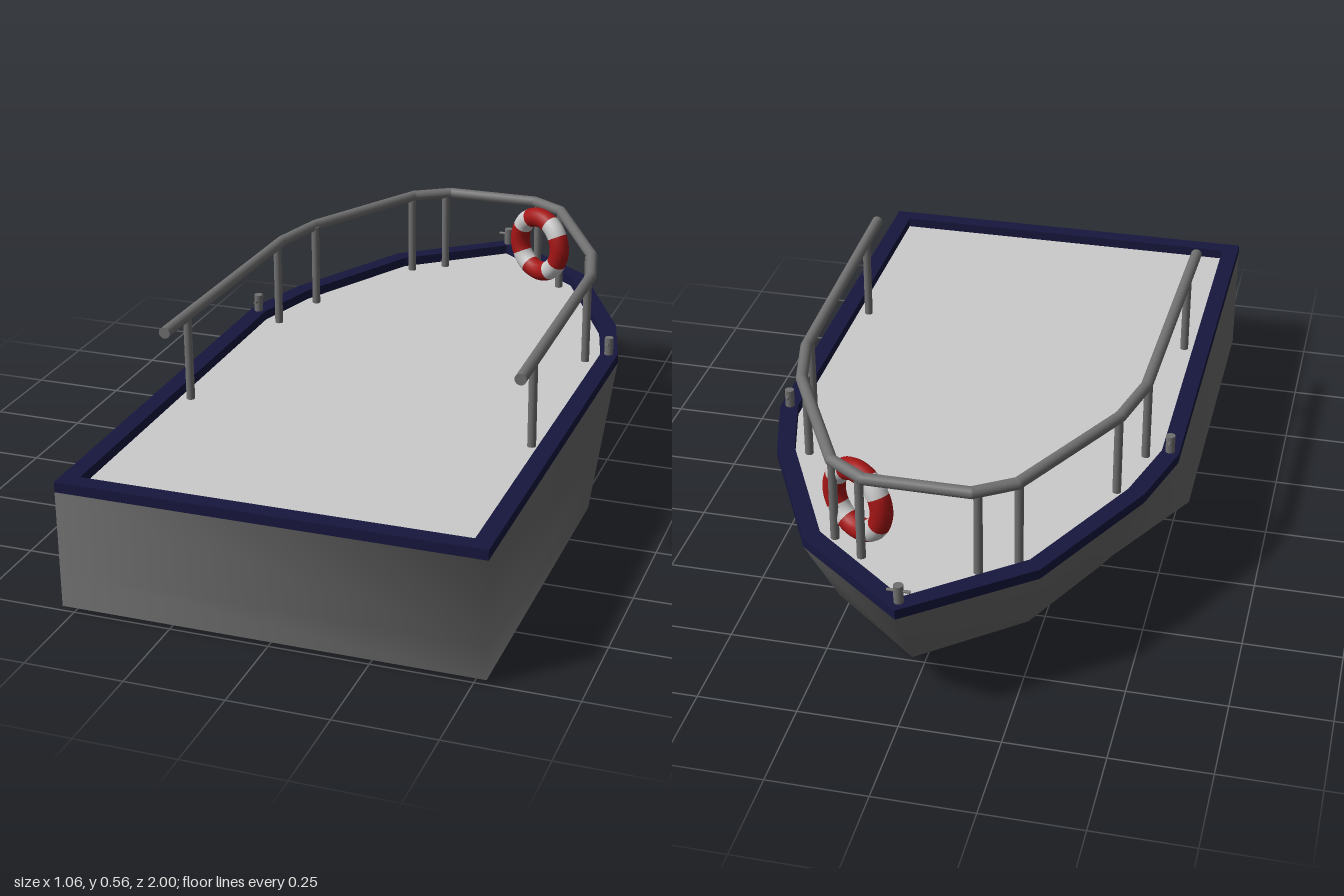
import * as THREE from 'three';
import { mergeVertices } from 'three/addons/utils/BufferGeometryUtils.js';

const mat = (color) => new THREE.MeshStandardMaterial({ color });
const lightGrey = mat(0xc4c4c4);
const hullGrey = mat(0x6c6c6c);
const railGrey = mat(0x707070);
const navy = mat(0x17173f);
const red = mat(0xa51515);
const white = mat(0xd4d4d4);

const DECK = 0.314, RIM_TOP = 0.34, RAIL_Y = 0.543;

function add(parent, name, geometry, material) {
  const mesh = new THREE.Mesh(geometry, material);
  mesh.name = name;
  parent.add(mesh);
  return mesh;
}

// Straight round bar between two points
function bar(parent, name, a, b, radius, sides = 16) {
  const dir = b.clone().sub(a);
  const mesh = add(parent, name, new THREE.CylinderGeometry(radius, radius, dir.length(), sides), railGrey);
  mesh.position.copy(a).add(b).multiplyScalar(0.5);
  mesh.quaternion.setFromUnitVectors(new THREE.Vector3(0, 1, 0), dir.normalize());
}

// Hull stations from stern to bow, each with [half width, y, z] at deck, knuckle and keel
const STATIONS = [
  [[0.53, DECK, 1], [0.53, 0.1, 1], [0.53, 0.012, 1]],
  [[0.53, DECK, -0.2], [0.53, 0.1, 0], [0.53, 0.012, 0.08]],
  [[0.475, DECK, -0.4], [0.37, 0.1, -0.39], [0.28, 0.002, -0.37]],
  [[0.29, DECK, -0.77], [0.24, 0.1, -0.66], [0.16, 0, -0.51]],
  [[0, DECK, -1], [0, 0.1, -0.86], [0, 0, -0.63]],
];

// Surface from four-cornered faces; corners that coincide share a smooth normal
function quadSurface(quads) {
  const positions = quads.flatMap(([a, b, c, d]) => [a, b, c, a, c, d].flat());
  let g = new THREE.BufferGeometry();
  g.setAttribute('position', new THREE.Float32BufferAttribute(positions, 3));
  g = mergeVertices(g);
  g.computeVertexNormals();
  return g;
}

function createHull() {
  const group = new THREE.Group();
  group.name = 'hull';
  const R = (s, row) => STATIONS[s][row];
  const L = (s, row) => [-STATIONS[s][row][0], STATIONS[s][row][1], STATIONS[s][row][2]];
  const sides = [], deck = [], bottom = [];
  for (let s = 0; s < STATIONS.length - 1; s++) {
    for (let r = 0; r < 2; r++) {
      sides.push([R(s, r), R(s, r + 1), R(s + 1, r + 1), R(s + 1, r)]);
      sides.push([L(s, r), L(s + 1, r), L(s + 1, r + 1), L(s, r + 1)]);
    }
    deck.push([L(s, 0), R(s, 0), R(s + 1, 0), L(s + 1, 0)]);
    bottom.push([R(s, 2), L(s, 2), L(s + 1, 2), R(s + 1, 2)]);
  }
  for (let r = 0; r < 2; r++) sides.push([L(0, r), L(0, r + 1), R(0, r + 1), R(0, r)]); // transom
  add(group, 'hullSides', quadSurface(sides), hullGrey);
  add(group, 'deck', quadSurface(deck), lightGrey);
  add(group, 'hullBottom', quadSurface(bottom), lightGrey);
  return group;
}

// Closed outline from one half (stern to bow tip), with z mapped to -y of the shape
function outline(half, Type) {
  const right = half.map(([x, z]) => new THREE.Vector2(x, -z));
  const left = half.slice(0, -1).reverse().map(([x, z]) => new THREE.Vector2(-x, -z));
  return new Type([...right, ...left]);
}

function rimGeometry() {
  const shape = outline(STATIONS.map(([[x, , z]]) => [x, z]), THREE.Shape);
  shape.holes.push(outline([[0.485, 0.955], [0.485, -0.19], [0.432, -0.385], [0.258, -0.735], [0, -0.945]], THREE.Path));
  const g = new THREE.ExtrudeGeometry(shape, { depth: RIM_TOP - DECK, bevelEnabled: false });
  g.rotateX(-Math.PI / 2);
  g.translate(0, DECK, 0);
  return g;
}

function createRailing() {
  const group = new THREE.Group();
  group.name = 'railing';
  const half = [[0.46, 0.52], [0.443, -0.22], [0.405, -0.38], [0.225, -0.725], [0.13, -0.787]];
  const path = [...half, ...half.map(([x, z]) => [-x, z]).reverse()]
    .map(([x, z]) => new THREE.Vector3(x, RAIL_Y, z));
  for (let i = 0; i < path.length - 1; i++) {
    bar(group, 'handrail', path[i], path[i + 1], 0.015);
    if (i > 0) add(group, 'railJoint', new THREE.SphereGeometry(0.015, 16, 10), railGrey).position.copy(path[i]);
  }
  for (const side of [1, -1])
    for (const [x, z] of [[0.456, 0.39], [0.443, -0.185], [0.4, -0.365], [0.227, -0.715], [0.143, -0.778]])
      bar(group, 'railPost', new THREE.Vector3(side * x, DECK, z),
        new THREE.Vector3(side * x, RAIL_Y, z), 0.011);
  return group;
}

// Mooring cleat: a short post with a crossbar
function createCleat(x, z, turn) {
  const group = new THREE.Group();
  group.name = 'cleat';
  const v = (a, b, c) => new THREE.Vector3(a, b, c);
  bar(group, 'cleatPost', v(0, 0, 0), v(0, 0.05, 0), 0.012);
  bar(group, 'cleatBar', v(-0.028, 0.034, 0), v(0.028, 0.034, 0), 0.004, 10);
  group.position.set(x, RIM_TOP - 0.003, z);
  group.rotation.y = turn;
  return group;
}

// Life ring: four red arcs separated by white bands
function createLifeRing() {
  const group = new THREE.Group();
  group.name = 'lifeRing';
  const band = Math.PI * 0.18;
  for (let i = 0; i < 4; i++) {
    const start = Math.PI / 4 + i * Math.PI / 2 - band / 2;
    add(group, 'whiteBand', new THREE.TorusGeometry(0.081, 0.028, 16, 8, band), white).rotation.z = start;
    add(group, 'redArc', new THREE.TorusGeometry(0.081, 0.028, 16, 12, Math.PI / 2 - band), red)
      .rotation.z = start + band;
  }
  group.position.set(0.165, 0.437, -0.72);
  group.rotation.y = -Math.PI / 6;
  return group;
}

export function createModel() {
  const boat = new THREE.Group();
  boat.name = 'boat';
  boat.add(createHull());
  add(boat, 'rim', rimGeometry(), navy);
  boat.add(createRailing());
  boat.add(createCleat(0.506, -0.19, Math.PI / 2));
  boat.add(createCleat(-0.506, -0.19, Math.PI / 2));
  boat.add(createCleat(0, -0.965, 0));
  boat.add(createLifeRing());
  return boat;
}
